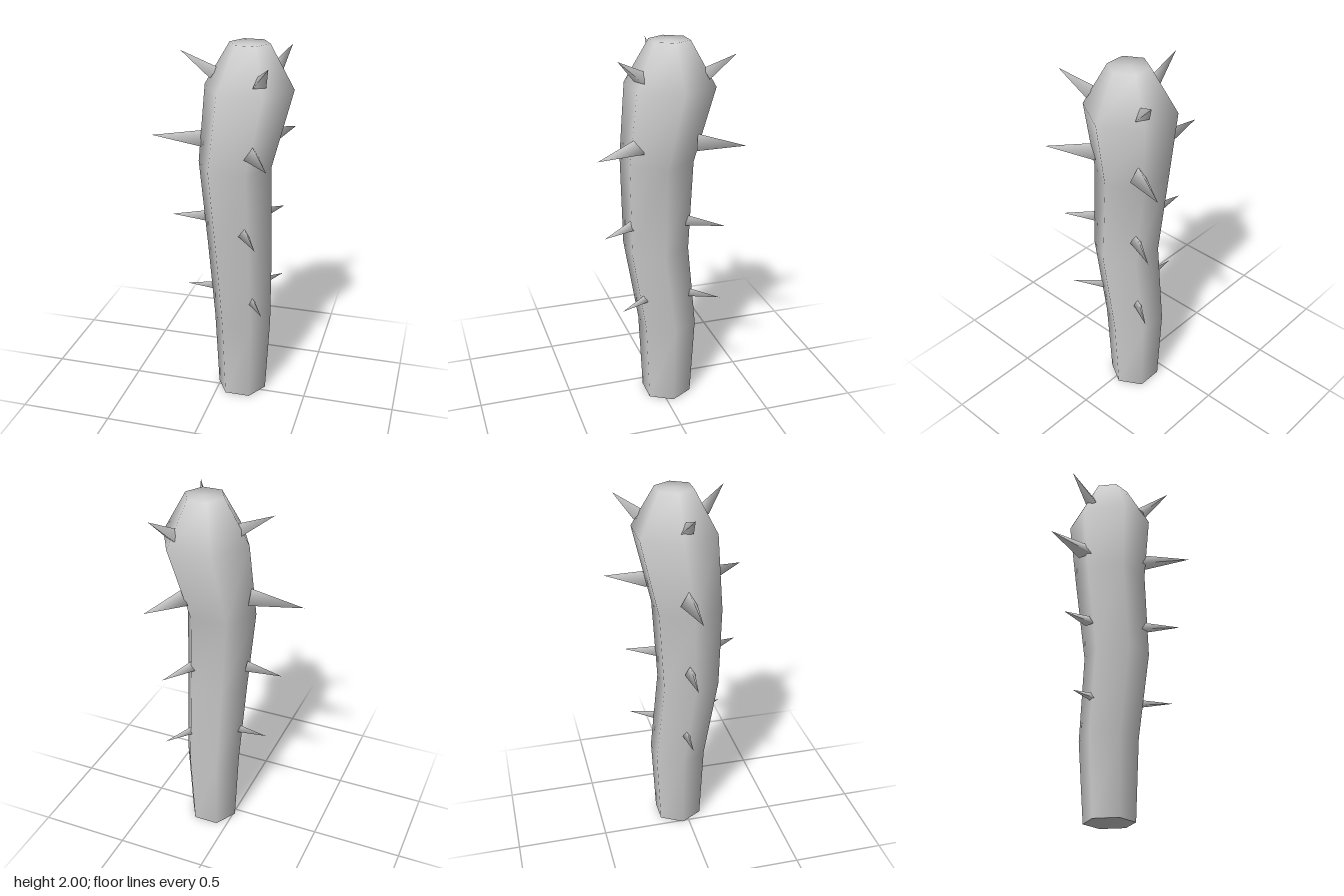
import * as THREE from 'three';
import { toCreasedNormals } from 'three/addons/utils/BufferGeometryUtils.js';

// trunk cross-sections from bottom to top: centre x, y, centre z, radius
const RINGS = [
  [0.127, 0, -0.037, 0.137],
  [0.125, 0.44, -0.037, 0.16],
  [0.12, 0.9, 0.025, 0.177],
  [0.085, 1.37, 0.01, 0.196],
  [0.145, 1.775, -0.04, 0.235],
  [0.147, 2, -0.037, 0.105],
];

// thorns, three per level: base radius, then [base, tip] for each direction
const LEVELS = [
  { r: 0.024, thorns: [
    [[-0.025, 0.632, -0.02], [-0.19, 0.625, -0.02]],
    [[0.21, 0.632, 0.11], [0.3, 0.625, 0.26]],
    [[0.21, 0.632, -0.14], [0.3, 0.625, -0.28]]] },
  { r: 0.033, thorns: [
    [[-0.07, 1.052, -0.01], [-0.27, 1.04, -0.015]],
    [[0.175, 1.052, 0.165], [0.275, 1.04, 0.34]],
    [[0.2, 1.052, -0.12], [0.295, 1.04, -0.295]]] },
  { r: 0.051, thorns: [
    [[-0.095, 1.48, -0.022], [-0.38, 1.48, -0.022]],
    [[0.2, 1.48, 0.14], [0.335, 1.475, 0.382]],
    [[0.225, 1.48, -0.165], [0.33, 1.48, -0.385]]] },
  { r: 0.04, thorns: [
    [[-0.035, 1.835, -0.02], [-0.212, 1.945, -0.02]],
    [[0.235, 1.835, 0.135], [0.31, 1.945, 0.27]],
    [[0.245, 1.835, -0.205], [0.31, 1.945, -0.325]]] },
];

// six-sided trunk: a stacked cylinder whose rings follow the bent path
function trunkGeometry() {
  const n = RINGS.length - 1;
  const geo = new THREE.CylinderGeometry(1, 1, n, 6, n, false, Math.PI / 2);
  const pos = geo.attributes.position;
  for (let i = 0; i < pos.count; i++) {
    const [cx, y, cz, r] = RINGS[Math.round(pos.getY(i) + n / 2)];
    pos.setXYZ(i, cx + pos.getX(i) * r, y, cz + pos.getZ(i) * r);
  }
  geo.deleteAttribute('uv');
  // rounded shading over the crown, sharp rim at the foot
  return toCreasedNormals(geo, THREE.MathUtils.degToRad(75));
}

// three-sided thorn with one ridge upwards, pointing from base to tip
function makeThorn(radius, base, tip, material) {
  const a = new THREE.Vector3(...base);
  const b = new THREE.Vector3(...tip);
  const length = a.distanceTo(b);
  const geo = new THREE.ConeGeometry(radius, length, 3, 1, false, Math.PI);
  geo.translate(0, length / 2, 0).rotateX(Math.PI / 2);
  const thorn = new THREE.Mesh(geo, material);
  thorn.position.copy(a);
  thorn.lookAt(b);
  return thorn;
}

export function createModel() {
  const model = new THREE.Group();
  model.name = 'thornyStalk';
  const material = new THREE.MeshStandardMaterial({ color: 0xcccccc });

  const trunk = new THREE.Mesh(trunkGeometry(), material);
  trunk.name = 'trunk';
  model.add(trunk);

  const sides = ['right', 'frontLeft', 'backLeft'];
  LEVELS.forEach(({ r, thorns }, level) => {
    thorns.forEach(([base, tip], k) => {
      const thorn = makeThorn(r, base, tip, material);
      thorn.name = `${sides[k]}Thorn${level + 1}`;
      model.add(thorn);
    });
  });
  return model;
}
